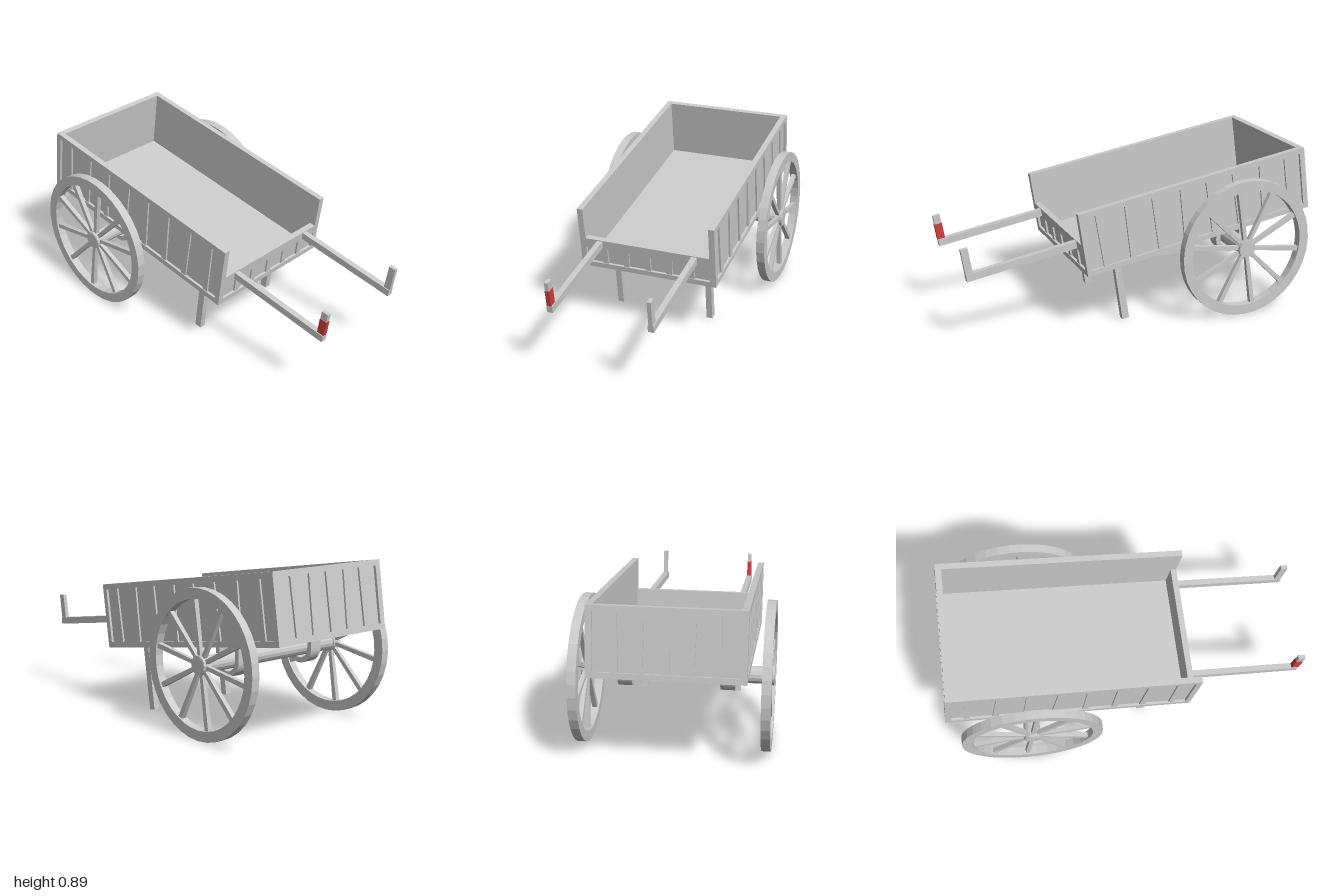
import * as THREE from 'three';

const grey = new THREE.MeshStandardMaterial({ color: 0xcccccc, flatShading: true });
const red = new THREE.MeshStandardMaterial({ color: 0xd04040, flatShading: true });

const TILT = 0.148;   // slope of the bed, rising to the back
const LENGTH = 1.365, HEIGHT = 0.36, HALF = 0.39, WALL = 0.033;

function add(parent, name, geometry, x = 0, y = 0, z = 0, material = grey) {
  const mesh = new THREE.Mesh(geometry, material);
  mesh.name = name;
  mesh.position.set(x, y, z);
  parent.add(mesh);
  return mesh;
}

// Box given by its ranges on the three axes
function block(parent, name, [x0, x1], [y0, y1], [z0, z1], material) {
  return add(parent, name, new THREE.BoxGeometry(x1 - x0, y1 - y0, z1 - z0),
    (x0 + x1) / 2, (y0 + y1) / 2, (z0 + z1) / 2, material);
}

// Framed wall facing +z: recessed panel, rails, optional end stiles, slightly crooked battens
function framedWall(name, width, height, topRail, stile, battens) {
  const wall = new THREE.Group(), w = width / 2, bottomRail = 0.03;
  wall.name = name;
  block(wall, 'panel', [-w, w], [0.005, height - 0.005], [-WALL, -0.014]);
  block(wall, 'bottomRail', [-w, w], [0, bottomRail], [-WALL, 0]);
  block(wall, 'topRail', [-w, w], [height - topRail, height], [-WALL, 0]);
  if (stile) for (const s of [-1, 1]) {
    add(wall, 'stile', new THREE.BoxGeometry(stile, height - topRail - bottomRail, WALL),
      s * (w - stile / 2), (height - topRail + bottomRail) / 2, -WALL / 2);
  }
  battens.forEach((x, i) => {
    const batten = add(wall, 'batten',
      new THREE.BoxGeometry(0.033, height - topRail - bottomRail + 0.004, 0.012),
      x, (height - topRail + bottomRail) / 2, -0.01);
    batten.rotation.z = [0.025, -0.02, 0.01, -0.03, 0.02][i % 5];
  });
  return wall;
}

function createWheel() {
  const wheel = new THREE.Group();
  wheel.name = 'wheel';
  const r0 = 0.335, r1 = 0.39, h = 0.0235;
  const profile = [[r0, -h], [r1, -h], [r1, h], [r0, h], [r0, -h]].map(p => new THREE.Vector2(...p));
  add(wheel, 'rim', new THREE.LatheGeometry(profile, 36).rotateZ(Math.PI / 2));
  add(wheel, 'hub', new THREE.CylinderGeometry(0.05, 0.05, 0.05, 16).rotateZ(Math.PI / 2));
  // Ten spokes, a little wider towards the rim
  for (let i = 0; i < 10; i++) {
    const geometry = new THREE.CylinderGeometry(0.019, 0.015, 0.32, 4, 1)
      .rotateY(Math.PI / 4).translate(0, 0.185, 0);
    add(wheel, 'spoke', geometry).rotation.x = THREE.MathUtils.degToRad(9 + 36 * i);
  }
  return wheel;
}

// U-shaped strap that hangs the axle from the floor
function axleBracket() {
  const outer = 0.086, inner = 0.058, top = 0.085;
  const shape = new THREE.Shape();
  shape.moveTo(-outer, top);
  shape.lineTo(-outer, 0);
  shape.absarc(0, 0, outer, Math.PI, 2 * Math.PI, false);
  shape.lineTo(outer, top);
  shape.lineTo(inner, top);
  shape.lineTo(inner, 0);
  shape.absarc(0, 0, inner, 2 * Math.PI, Math.PI, true);
  shape.lineTo(-inner, top);
  return new THREE.ExtrudeGeometry(shape, { depth: 0.075, bevelEnabled: false, curveSegments: 10 })
    .translate(0, 0, -0.0375).rotateY(Math.PI / 2);
}

export function createModel() {
  const cart = new THREE.Group();
  cart.name = 'handCart';

  // Tilted bed, with its origin at the front bottom edge
  const bed = new THREE.Group();
  bed.name = 'bed';
  bed.position.set(0, 0.333, 0.35);
  bed.rotation.x = TILT;
  cart.add(bed);

  const inside = HALF - WALL;
  block(bed, 'floor', [-inside, inside], [0, 0.027], [-LENGTH + 0.01, -0.01]);

  const endBattens = [-0.25, -0.125, 0, 0.125, 0.25];
  const front = framedWall('frontBoard', 2 * inside, 0.178, 0.053, 0, endBattens);
  const back = framedWall('backBoard', 2 * inside, HEIGHT, 0.03, 0, endBattens);
  back.position.z = -LENGTH;
  back.rotation.y = Math.PI;
  bed.add(front, back);

  const sideBattens = Array.from({ length: 8 }, (_, i) => -0.57 + 0.163 * i);
  for (const s of [-1, 1]) {
    const side = framedWall(s > 0 ? 'leftSide' : 'rightSide', LENGTH, HEIGHT, 0.03, 0.03, sideBattens);
    side.position.set(s * HALF, 0, -LENGTH / 2);
    side.rotation.y = s * Math.PI / 2;
    bed.add(side);

    // Prop leg, and handle with an upright grip
    const x = s * 0.2725;
    block(bed, 'leg', [x - 0.017, x + 0.017], [-0.365, 0.01], [-0.23, -0.19]);
    block(bed, 'handle', [x - 0.016, x + 0.016], [0.134, 0.173], [-0.025, 0.612]);
    block(bed, 'grip', [x - 0.011, x + 0.011], [0.17, 0.313], [0.573, 0.612]);
    if (s < 0) block(bed, 'gripWrap', [x - 0.0125, x + 0.0125], [0.175, 0.264], [0.5715, 0.6135], red);
  }

  // Axle, wheels and brackets
  const running = new THREE.Group();
  running.name = 'runningGear';
  running.position.set(0, 0.39, -0.545);
  cart.add(running);
  add(running, 'axle', new THREE.CylinderGeometry(0.045, 0.045, 1.01, 16).rotateZ(Math.PI / 2));
  for (const s of [-1, 1]) {
    const wheel = createWheel();
    wheel.position.x = s * 0.478;
    running.add(wheel);
    add(running, 'axleBracket', axleBracket(), s * 0.267);
  }
  return cart;
}
